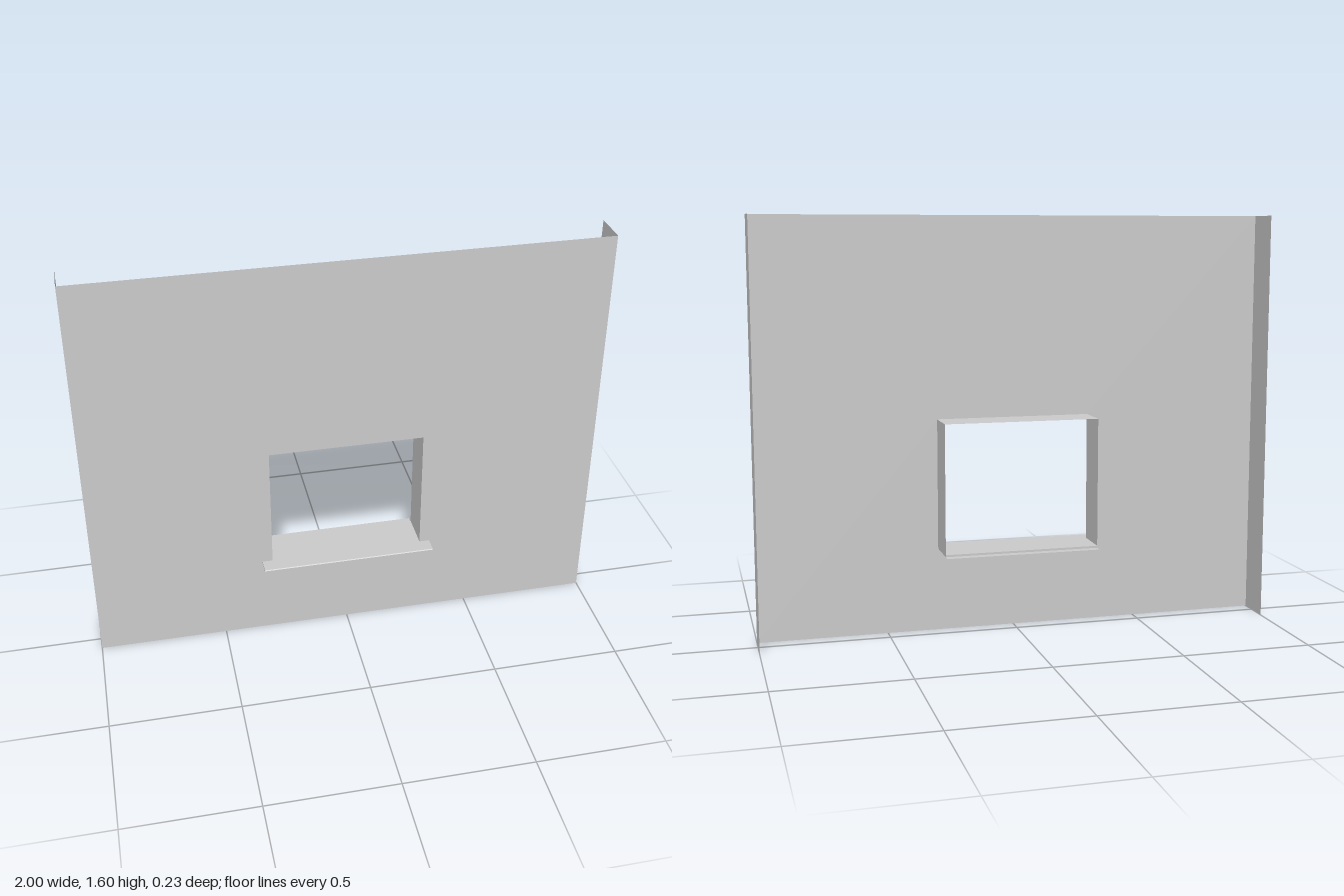
import * as THREE from 'three';

const FRONT = 0.057, BACK = -0.087;
const W = 0.3, BOTTOM = 0.322, TOP = 0.828;

const sheet = new THREE.MeshStandardMaterial({ color: 0xcccccc, side: THREE.DoubleSide, flatShading: true });

// Closed outline from [x, y] corners
function outline(points, Type = THREE.Shape) {
  return new Type(points.map(([x, y]) => new THREE.Vector2(x, y)));
}

export function createModel() {
  const model = new THREE.Group();
  const add = (name, geometry, x = 0, y = 0, z = 0) => {
    const mesh = new THREE.Mesh(geometry, sheet);
    mesh.name = name;
    mesh.position.set(x, y, z);
    model.add(mesh);
    return mesh;
  };
  const depth = FRONT - BACK, mid = (FRONT + BACK) / 2;

  // Thin front face with the window opening
  const face = outline([[-1, 0], [1, 0], [1, 1.6], [-1, 1.6]]);
  face.holes.push(outline([[-W, BOTTOM], [-W, TOP], [W, TOP], [W, BOTTOM]], THREE.Path));
  add('wallFace', new THREE.ShapeGeometry(face), 0, 0, FRONT);

  // Wall ends and window jambs, mirrored
  for (const [s, side] of [[1, 'left'], [-1, 'right']]) {
    add(side + 'WallEnd', new THREE.PlaneGeometry(depth, 1.6).rotateY(s * Math.PI / 2), s, 0.8, mid);
    add(side + 'Jamb', new THREE.PlaneGeometry(depth, TOP - BOTTOM).rotateY(-s * Math.PI / 2),
      s * W, (TOP + BOTTOM) / 2, mid);
  }

  // Head of the opening
  add('windowHead', new THREE.PlaneGeometry(2 * W, depth).rotateX(Math.PI / 2), 0, TOP, mid);

  // Sill board inside the opening, with a thin strip running out behind
  add('sillBoard', new THREE.BoxGeometry(2 * W, 0.008, depth), 0, 0.326, mid);
  add('sillBackStrip', new THREE.PlaneGeometry(2 * W, 0.03).rotateX(-Math.PI / 2), 0, BOTTOM, BACK - 0.015);

  // Projecting sill nose with a small drip lip; profile is (z, y)
  const profile = outline([
    [FRONT, 0.322], [0.109, 0.322], [0.109, 0.314], [0.117, 0.314],
    [0.117, 0.327], [0.114, 0.33], [FRONT, 0.33],
  ]);
  const nose = new THREE.ExtrudeGeometry(profile, { depth: 0.68, bevelEnabled: false });
  add('sillNose', nose.translate(0, 0, -0.34).rotateY(-Math.PI / 2));

  return model;
}
